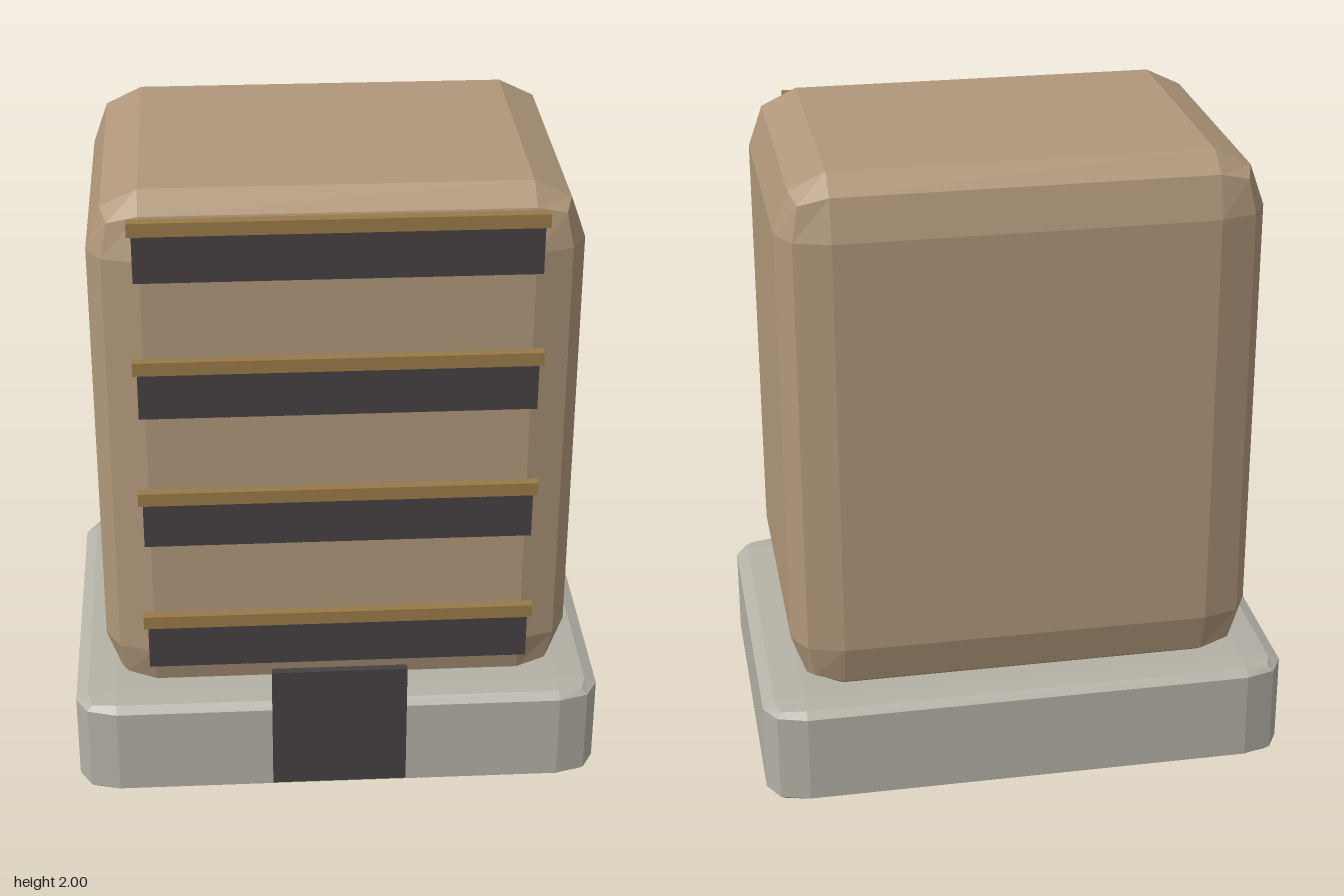
import * as THREE from 'three';
import { RoundedBoxGeometry } from 'three/addons/geometries/RoundedBoxGeometry.js';

const Z0 = -0.012; // shared depth centre of body and base

function material(name, color) {
  const m = new THREE.MeshStandardMaterial({ color, flatShading: true });
  m.name = name;
  return m;
}

export function createModel() {
  const group = new THREE.Group();
  const tan = material('tan', 0xb0977a);
  const stone = material('stone grey', 0xb3b0a5);
  const dark = material('charcoal', 0x474041);
  const brass = material('brass', 0x987a48);

  function add(name, geometry, mat, x, y, z) {
    const mesh = new THREE.Mesh(geometry, mat);
    mesh.name = name;
    mesh.position.set(x, y, z);
    group.add(mesh);
  }

  // A unit block with two-facet bevels, stretched to size
  const block = (w, h, d, bevel) => new RoundedBoxGeometry(1, 1, 1, 1, bevel).scale(w, h, d);

  // Plinth and main body
  add('base', block(1.65, 0.335, 1.2, 0.078), stone, 0, 0.1675, Z0);
  add('body', block(1.445, 1.68, 1.056, 0.107), tan, 0, 1.16, Z0);

  // Four dark slots, each under a thin ledge
  for (let i = 0; i < 4; i++) {
    const y = 0.598 + i * 0.4375;
    add('slot', new THREE.BoxGeometry(1.174, 0.15, 0.024), dark, 0, y - 0.073, 0.519);
    add('ledge', new THREE.BoxGeometry(1.2, 0.042, 0.032), brass, 0, y + 0.021, 0.527);
  }

  // Plate on the front of the base
  add('frontPlate', new THREE.BoxGeometry(0.42, 0.42, 0.024), dark, 0, 0.255, 0.598);

  return group;
}
